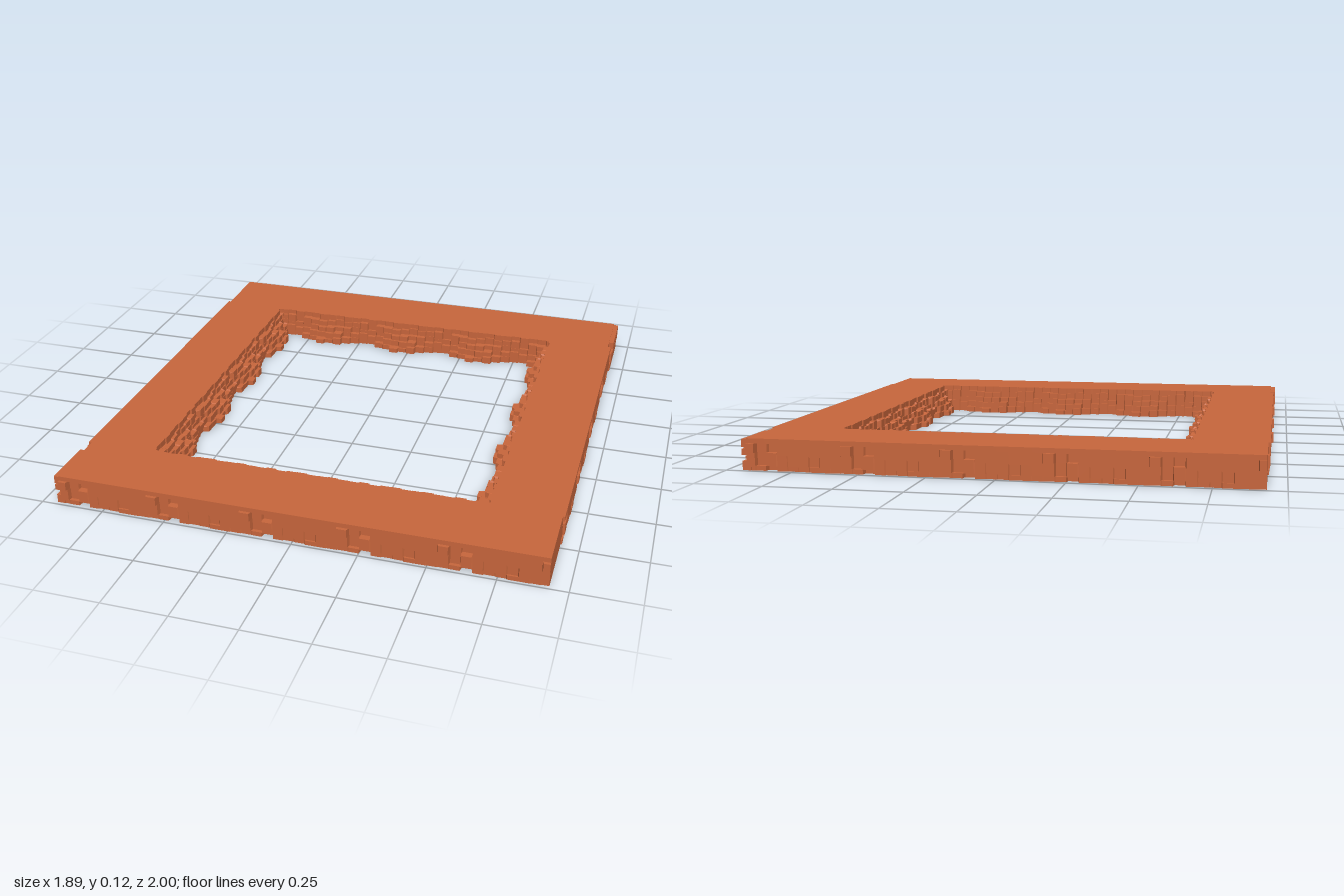
import * as THREE from 'three';

const H = 0.118;          // frame thickness
const CELL = 0.0408;      // width of one stone column
const PERIOD = 9;         // columns in one repeating stone module
const GAP = 0.004;        // slanted joint between neighbouring columns

// Repeatable value in -1..1 for a column and a row
function hash(a, b) {
  const s = Math.sin(a * 127.1 + b * 311.7 + 5.3) * 43758.5453;
  return (s - Math.floor(s)) * 2 - 1;
}

// Cross-section of one stone column as [outward, y] points:
// up the carved outer face, over the flat top, down the rugged inner face
function section(k, s) {
  const c = ((k % PERIOD) + PERIOD) % PERIOD;
  const pts = [];

  // Outer face: shallow chips below, a projecting block and a pocket above
  const chip = (row) => Math.max(0, hash(c, row)) * 0.008;
  const middle = c === 0 ? -s.nub : c === 1 ? 0.014 : c === 2 ? 0.026 : 0;
  const bounds = [0, 0.018, 0.06 + hash(c, 31) * 0.008, 0.1, H];
  const recess = [chip(21) + (c === 2 ? 0.018 : 0), chip(22) + (c === 1 ? 0.012 : 0), middle, 0];
  recess.forEach((r, i) => pts.push([s.outer - r, bounds[i]], [s.outer - r, bounds[i + 1]]));

  // Inner face: courses stepping inwards towards a wavy foot
  const foot = s.foot - s.wave * Math.cos((2 * Math.PI * (c - 5.4)) / PERIOD);
  const steps = [0.05, 0.28, 0.55, 0.8, 1];
  let top = H;
  steps.forEach((f, i) => {
    const y = i === 4 ? 0 : H * (1 - (i + 1) / 5) + hash(c, i + 50) * 0.007;
    const v = s.rim + (foot - s.rim) * f + hash(c, i + 3) * (i ? 0.011 : 0.004);
    pts.push([v, top], [v, y]);
    top = y;
  });
  return pts;
}

// Straight beam along x with its outer face towards +z
function beamGeometry(s) {
  const pos = [];
  const idx = [];
  const rings = [];
  const column = (u) => Math.floor((u - s.phase) / CELL + 0.5);
  const first = column(s.from);
  const last = column(s.to);
  for (let k = first; k <= last; k++) {
    const a = k === first ? s.from : s.phase + (k - 0.5) * CELL + GAP / 2;
    const b = k === last ? s.to : s.phase + (k + 0.5) * CELL - GAP / 2;
    rings.push([a, section(k, s)], [Math.max(a, b), section(k, s)]);
  }
  const n = rings[0][1].length;
  rings.forEach(([u, pts]) => pts.forEach(([v, y]) => pos.push(u, y, v)));
  for (let i = 0; i < rings.length - 1; i++) {
    for (let j = 0; j < n; j++) {
      const a = i * n + j;
      const d = i * n + ((j + 1) % n);
      idx.push(a, a + n, d + n, a, d + n, d);
    }
  }
  // End caps
  const mid = (s.outer + s.rim) / 2;
  const c0 = pos.length / 3;
  const base = (rings.length - 1) * n;
  pos.push(s.from, H / 2, mid, s.to, H / 2, mid);
  for (let j = 0; j < n; j++) {
    const q = (j + 1) % n;
    idx.push(c0, j, q, c0 + 1, base + q, base + j);
  }
  const g = new THREE.BufferGeometry();
  g.setAttribute('position', new THREE.Float32BufferAttribute(pos, 3));
  g.setIndex(idx);
  const flat = g.toNonIndexed();
  flat.computeVertexNormals();
  return flat;
}

export function createModel() {
  const group = new THREE.Group();
  group.name = 'stoneFrame';
  const stone = new THREE.MeshStandardMaterial({ color: 0xc8663c, flatShading: true, side: THREE.DoubleSide });

  const endBeam = beamGeometry({
    from: -0.925, to: 0.93, phase: 0.19, outer: 0.988, nub: 0.012, rim: 0.712, foot: 0.66, wave: 0.027,
  });
  const sideBeam = beamGeometry({
    from: -0.725, to: 0.725, phase: -0.02, outer: 0.938, nub: 0.008, rim: 0.663, foot: 0.608, wave: 0.02,
  });

  // Layered slabs closing one end of each end beam: y from, y to, z from, z to, reach
  const slabs = [
    [0, 0.034, 0.72, 0.986, 0.942],
    [0.04, 0.05, 0.72, 0.97, 0.938],
    [0.055, 0.078, 0.74, 0.986, 0.945],
    [0.084, 0.114, 0.78, 0.986, 0.945],
  ];

  ['front', 'back'].forEach((name, i) => {
    const part = new THREE.Group();
    part.name = `${name}Beam`;
    const body = new THREE.Mesh(endBeam, stone);
    body.name = `${name}BeamStone`;
    part.add(body);
    slabs.forEach(([y0, y1, z0, z1, reach]) => {
      const w = reach - 0.91;
      const slab = new THREE.Mesh(new THREE.BoxGeometry(w, y1 - y0, z1 - z0), stone);
      slab.name = 'endSlab';
      slab.position.set(-reach + w / 2, (y0 + y1) / 2, (z0 + z1) / 2);
      part.add(slab);
    });
    part.rotation.y = i * Math.PI;
    group.add(part);
  });

  ['left', 'right'].forEach((name, i) => {
    const beam = new THREE.Mesh(sideBeam, stone);
    beam.name = `${name}Beam`;
    beam.rotation.y = Math.PI / 2 + i * Math.PI;
    group.add(beam);
  });
  return group;
}
